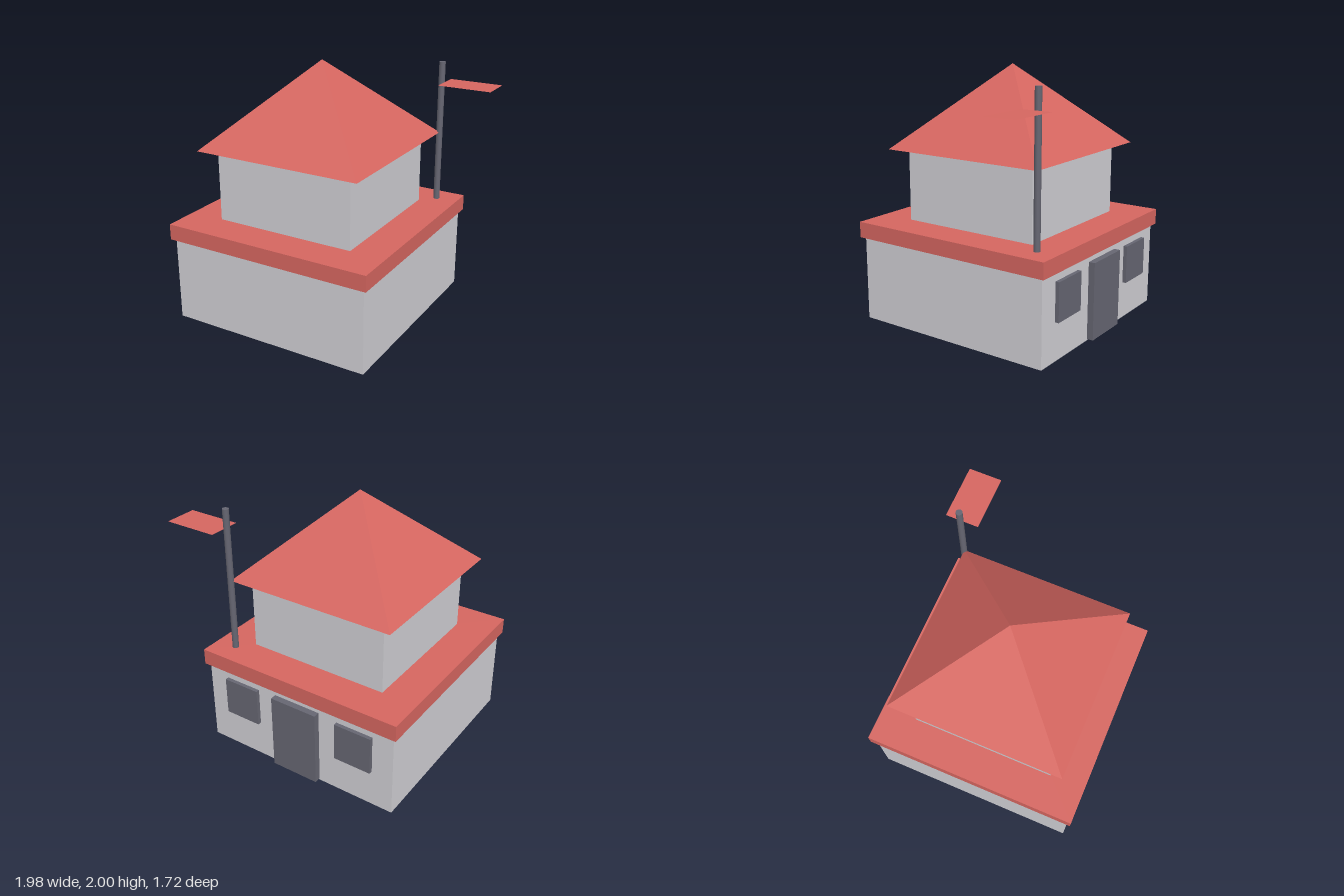
import * as THREE from 'three';

export function createModel() {
  const model = new THREE.Group();
  model.name = 'house';

  const material = (name, color, extra = {}) => {
    const m = new THREE.MeshStandardMaterial({ color, ...extra });
    m.name = name;
    return m;
  };
  const wallGrey = material('wall grey', 0xd0cfd4);
  const roofRed = material('roof red', 0xd66660, { flatShading: true, side: THREE.DoubleSide });
  const darkGrey = material('dark grey', 0x666672);

  const add = (parent, name, geometry, mat, x, y, z) => {
    const mesh = new THREE.Mesh(geometry, mat);
    mesh.name = name;
    mesh.position.set(x, y, z);
    parent.add(mesh);
    return mesh;
  };
  // Box placed by its bottom centre
  const box = (parent, name, mat, w, h, d, x, y, z) =>
    add(parent, name, new THREE.BoxGeometry(w, h, d), mat, x, y + h / 2, z);

  // Stacked storeys share one vertical axis
  const house = new THREE.Group();
  house.name = 'building';
  house.position.set(-0.14, 0, 0.01);
  model.add(house);

  box(house, 'lowerStorey', wallGrey, 1.64, 0.67, 1.64, 0, 0, 0);
  box(house, 'roofSlab', roofRed, 1.7, 0.125, 1.7, 0, 0.67, 0);
  box(house, 'upperStorey', wallGrey, 1.14, 0.565, 1.14, 0, 0.795, 0);

  // Four-sided roof with its edges square to the walls
  const roof = new THREE.ConeGeometry(0.68 * Math.SQRT2, 0.64, 4, 1, false, Math.PI / 4);
  add(house, 'pyramidRoof', roof, roofRed, 0, 1.68, 0);

  // Door and windows on the back wall
  box(house, 'door', darkGrey, 0.39, 0.605, 0.05, 0, 0.01, -0.845);
  for (const side of [-1, 1]) {
    box(house, side > 0 ? 'leftWindow' : 'rightWindow', darkGrey, 0.3, 0.3, 0.03, side * 0.5, 0.298, -0.835);
  }

  // Flagpole with a flat flag
  const pole = new THREE.CylinderGeometry(0.025, 0.025, 1.135, 12);
  add(model, 'flagpole', pole, darkGrey, 0.537, 1.3625, -0.672);
  const flag = new THREE.PlaneGeometry(0.425, 0.255).rotateX(-Math.PI / 2);
  add(model, 'flag', flag, roofRed, 0.773, 1.77, -0.672);

  return model;
}
